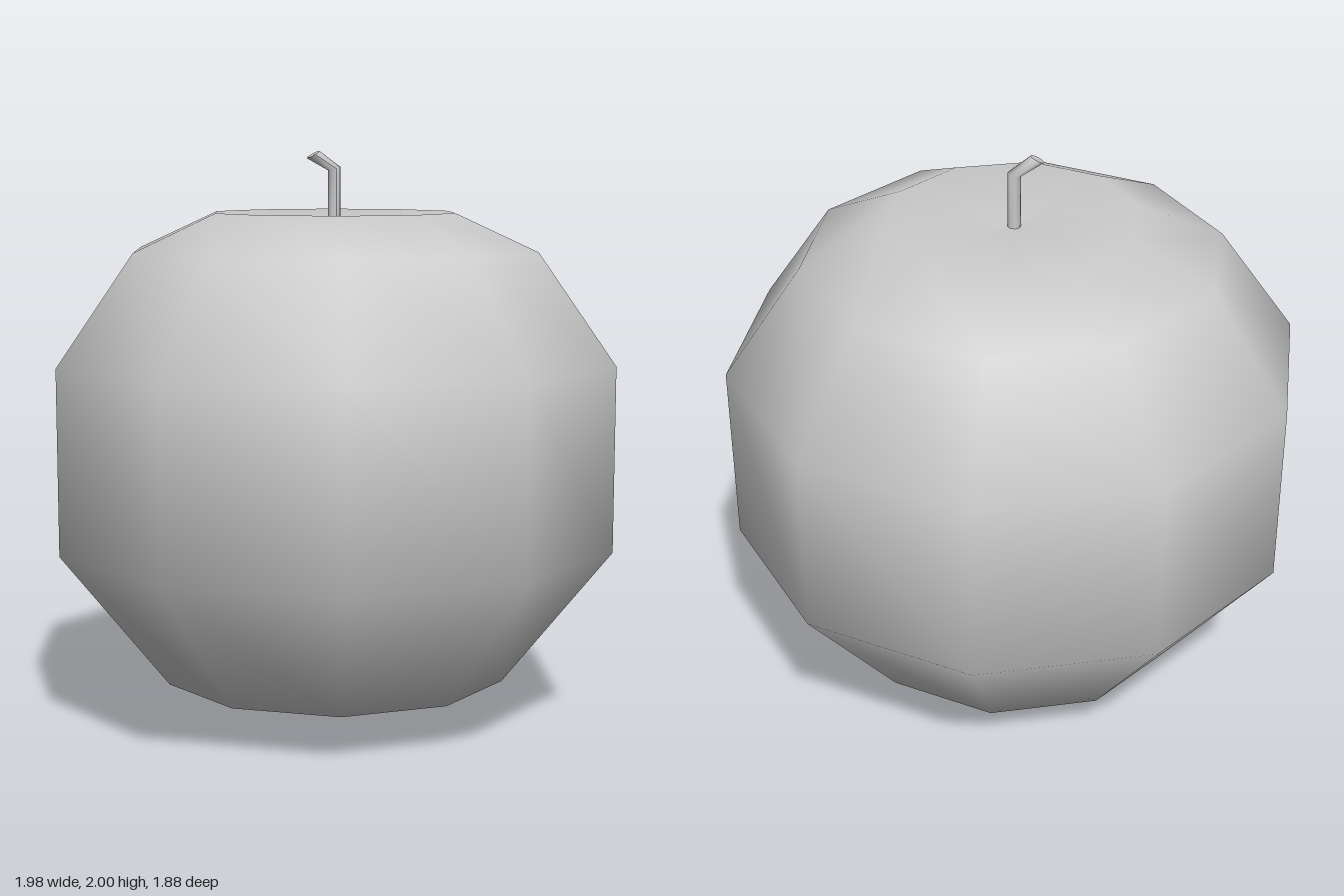
import * as THREE from 'three';

const SIDES = 10;

// Bottom-to-top outline: pointed base, faceted belly, shallow dip at the top
const BODY_PROFILE = [
  [0, 0], [0.61, 0.16], [0.99, 0.64], [0.99, 1.28], [0.72, 1.66], [0.43, 1.79], [0, 1.75],
].map(([r, y]) => new THREE.Vector2(r, y));

// Stem rings: centre (cx, cy) and the direction (ux, uy) its x axis takes
const STEM_RINGS = [
  { cx: 0, cy: 1.74, ux: 1, uy: 0 },
  { cx: 0, cy: 1.94, ux: 1, uy: 0.25 },
  { cx: -0.077, cy: 1.988, ux: 1, uy: 0.55 },
];

function makeStemGeometry(radius) {
  const geometry = new THREE.CylinderGeometry(radius, radius, 2, 8, 2);
  const pos = geometry.attributes.position;
  for (let i = 0; i < pos.count; i++) {
    const ring = STEM_RINGS[Math.round(pos.getY(i) + 1)];
    const x = pos.getX(i);
    pos.setXY(i, ring.cx + x * ring.ux, ring.cy + x * ring.uy);
  }
  geometry.computeVertexNormals();
  return geometry;
}

export function createModel() {
  const model = new THREE.Group();
  model.name = 'apple';
  const material = new THREE.MeshStandardMaterial({ color: 0xcccccc });

  // Fruit body, with a corner on the x axis
  const body = new THREE.Mesh(new THREE.LatheGeometry(BODY_PROFILE, SIDES, Math.PI / 2), material);
  body.name = 'fruitBody';

  // Stem, bent over towards -x
  const stem = new THREE.Mesh(makeStemGeometry(0.023), material);
  stem.name = 'stem';

  model.add(body, stem);
  return model;
}
